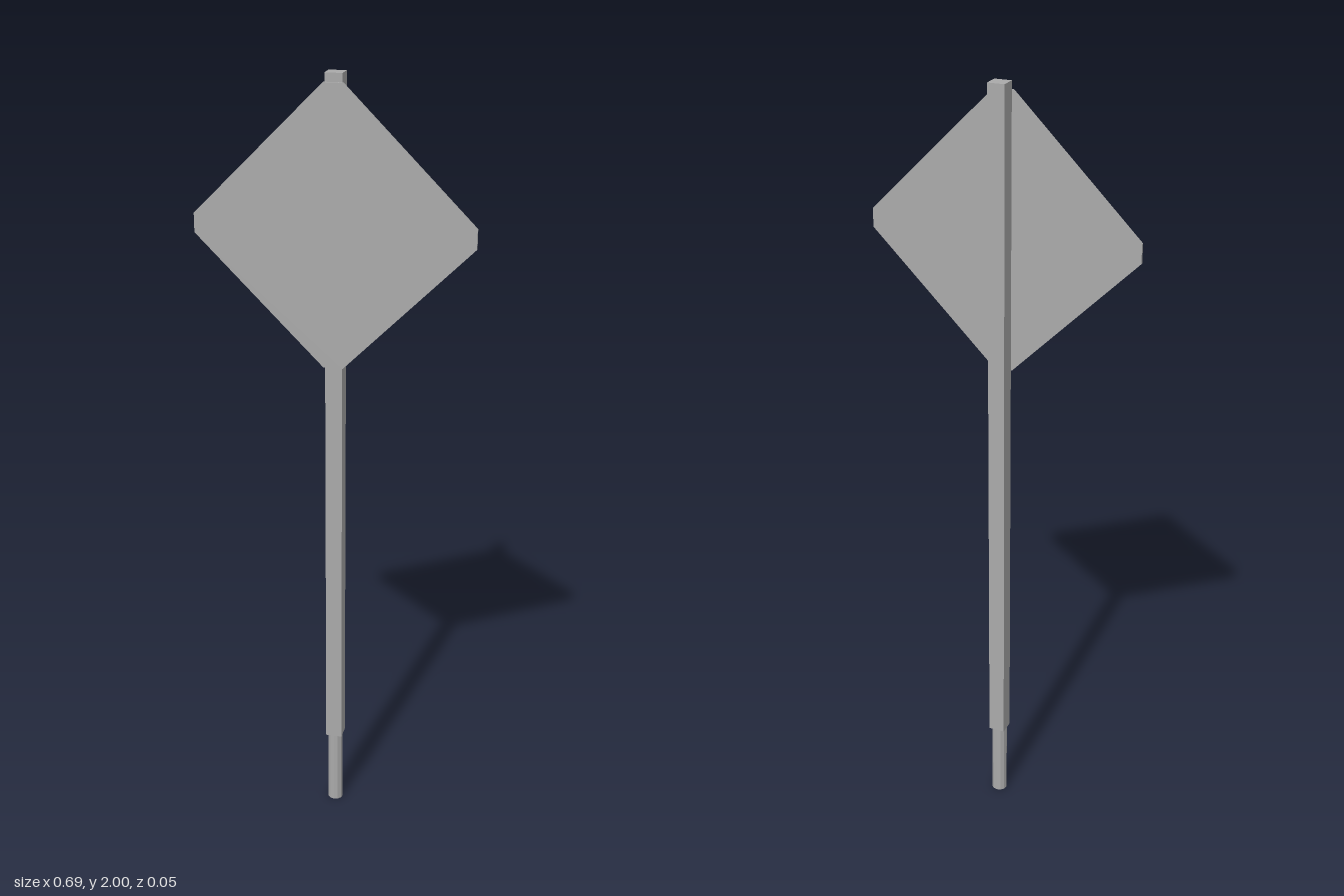
import * as THREE from 'three';

export function createModel() {
  const model = new THREE.Group();
  model.name = 'roadSign';
  const metal = new THREE.MeshStandardMaterial({ color: 0xaaaaaa, flatShading: true });
  metal.name = 'grey metal';

  const add = (name, geometry, x, y, z) => {
    const mesh = new THREE.Mesh(geometry, metal);
    mesh.name = name;
    mesh.position.set(x, y, z);
    model.add(mesh);
  };

  // Square post
  const postZ = -0.006;
  add('post', new THREE.BoxGeometry(0.043, 1.79, 0.042), 0, 1.105, postZ);

  // Round ground spigot under the post
  add('groundSpigot', new THREE.CylinderGeometry(0.0205, 0.0205, 0.21, 12), 0, 0.105, postZ);

  // Diamond plate with clipped corners, fixed to the front of the post
  const half = 0.346, cut = 0.024;
  const outline = new THREE.Shape([
    [cut, -half], [half, -cut], [half, cut], [cut, half],
    [-cut, half], [-half, cut], [-half, -cut], [-cut, -half],
  ].map(([x, y]) => new THREE.Vector2(x, y)));
  add('signPlate', new THREE.ExtrudeGeometry(outline, { depth: 0.007, bevelEnabled: false }), 0, 1.633, 0.015);

  return model;
}
